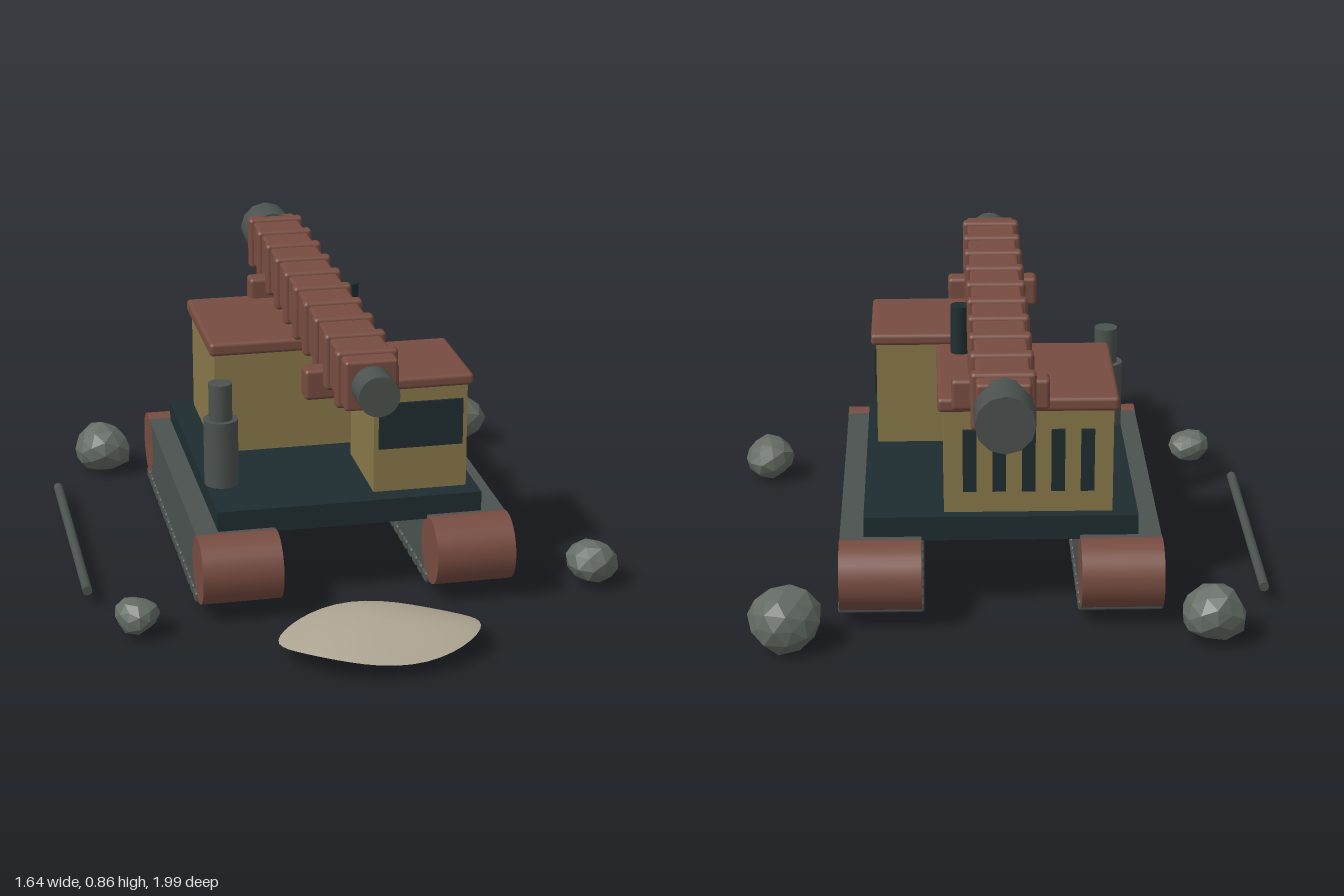
import * as THREE from 'three';
import { RoundedBoxGeometry } from 'three/addons/geometries/RoundedBoxGeometry.js';

const mat = (name, color, extra = {}) => Object.assign(new THREE.MeshStandardMaterial({ color, ...extra }), { name });

export function createModel() {
  const rust = mat('rust', 0x774c40);
  const ochre = mat('ochre', 0x88784a);
  const steel = mat('steel', 0x4b524f);
  const dark = mat('darkTeal', 0x1f2d30);
  const sand = mat('sand', 0xada592);
  const stone = mat('stone', 0x636b63, { flatShading: true });

  const root = new THREE.Group();
  root.name = 'trackedMachine';
  const CX = -0.012; // centre line of the machine

  const add = (name, geo, material, parent = root) => {
    const m = new THREE.Mesh(geo, material);
    m.name = name;
    parent.add(m);
    return m;
  };
  const group = (name) => {
    const g = new THREE.Group();
    g.name = name;
    root.add(g);
    return g;
  };
  // Box given by its limits; r > 0 rounds the edges
  const box = (name, material, x0, x1, y0, y1, z0, z1, parent, r = 0) => {
    const s = [x1 - x0, y1 - y0, z1 - z0];
    const geo = r ? new RoundedBoxGeometry(...s, 2, r) : new THREE.BoxGeometry(...s);
    const m = add(name, geo, material, parent);
    m.position.set((x0 + x1) / 2, (y0 + y1) / 2, (z0 + z1) / 2);
    return m;
  };
  // Cylinder along one axis
  const rod = (name, material, radius, length, axis, x, y, z, parent, sides = 24) => {
    const geo = new THREE.CylinderGeometry(radius, radius, length, sides);
    if (axis === 'x') geo.rotateZ(Math.PI / 2);
    if (axis === 'z') geo.rotateX(Math.PI / 2);
    const m = add(name, geo, material, parent);
    m.position.set(x, y, z);
    return m;
  };

  // Tracks: belt, end drums and ground cleats
  for (const side of [-1, 1]) {
    const g = group(side < 0 ? 'rightTrack' : 'leftTrack');
    const x = CX + side * 0.356;
    box('belt', steel, x - 0.121, x + 0.121, 0.055, 0.253, -0.625, 0.452, g);
    for (const z of [0.448, -0.617]) rod('drum', rust, 0.104, 0.243, 'x', x, 0.154, z, g, 28);
    for (let i = 0; i < 17; i++) {
      const z = 0.395 - i * 0.0625;
      box('cleat', steel, x - 0.128, x + 0.128, 0.032, 0.065, z - 0.024, z + 0.024, g, 0.008);
    }
  }

  // Deck
  box('deck', dark, -0.42, 0.393, 0.24, 0.315, -0.568, 0.405);

  // Engine house with rear vents
  const house = group('engineHouse');
  box('houseWalls', ochre, -0.345, 0.155, 0.315, 0.64, -0.532, -0.08, house);
  box('houseRoof', rust, -0.36, 0.172, 0.637, 0.68, -0.547, -0.072, house, 0.012);
  for (let i = 0; i < 5; i++) {
    const x = -0.095 + (i - 2) * 0.087;
    const vent = box('vent', dark, x - 0.02, x + 0.02, 0.385, 0.58, -0.541, -0.532, house);
    vent.position.z -= 0.004;
  }

  // Cab with front and side windows
  const cab = group('cab');
  box('cabWalls', ochre, 0.07, 0.36, 0.315, 0.645, 0.02, 0.342, cab);
  box('cabRoof', rust, 0.054, 0.376, 0.643, 0.68, 0.004, 0.356, cab, 0.012);
  box('frontWindow', dark, 0.085, 0.345, 0.455, 0.6, 0.342, 0.351, cab);
  box('sideWindow', dark, 0.36, 0.368, 0.455, 0.6, 0.083, 0.282, cab);

  // Stacks
  const stack = group('deckStack');
  rod('stackBase', steel, 0.053, 0.21, 'y', -0.369, 0.42, 0.17, stack);
  rod('stackPipe', steel, 0.036, 0.13, 'y', -0.369, 0.575, 0.17, stack);
  rod('roofStack', dark, 0.029, 0.18, 'y', 0.1, 0.74, -0.148);

  // Boom with collars, nozzles and saddles
  const boom = group('boom');
  const BY = 0.78;
  box('boomBeam', rust, CX - 0.078, CX + 0.078, BY - 0.075, BY + 0.075, -0.885, 0.668, boom, 0.01);
  for (let i = 0; i < 10; i++) {
    const z = 0.59 - i * 0.1555;
    box('collar', rust, CX - 0.092, CX + 0.092, BY - 0.086, BY + 0.086, z - 0.021, z + 0.021, boom, 0.012);
  }
  rod('frontNozzle', steel, 0.06, 0.12, 'z', CX, BY, 0.705, boom);
  rod('rearNozzle', steel, 0.085, 0.145, 'z', CX, BY, -0.9275, boom, 12);
  for (const z of [0.38, -0.537]) {
    box('saddle', rust, CX - 0.143, CX + 0.143, 0.652, 0.746, z - 0.034, z + 0.034, boom, 0.012);
  }

  // Loose pole
  rod('pole', steel, 0.015, 0.845, 'z', -0.808, 0.056, -0.107, root, 12);

  // Rocks: icosahedra with a smooth wobble, so shared corners stay joined
  const rocks = group('rocks');
  [[-0.63, 0.093, -0.77, 0.095, 0.084], [0.62, 0.1, -0.79, 0.106, 0.093],
    [-0.69, 0.073, 0.548, 0.065, 0.054], [0.735, 0.08, 0.467, 0.08, 0.068]].forEach(([x, y, z, r, h], k) => {
    const geo = new THREE.IcosahedronGeometry(1, 1);
    const p = geo.attributes.position;
    for (let i = 0; i < p.count; i++) {
      const [a, b, c] = [p.getX(i), p.getY(i), p.getZ(i)];
      const f = 1 + 0.07 * Math.sin(3.1 * a + 2.3 * b + k * 1.7) + 0.05 * Math.cos(4 * c - 2 * a + k);
      p.setXYZ(i, a * f * r, b * f * h, c * f * r);
    }
    geo.computeVertexNormals();
    const m = add('rock', geo, stone, rocks);
    m.position.set(x, y, z);
    m.rotation.y = k * 1.3;
  });

  // Sand heap: a lens with a gently waving rim
  const heap = group('sandHeap');
  for (const up of [1, -1]) {
    const geo = new THREE.SphereGeometry(1, 40, 10, 0, Math.PI * 2, up > 0 ? 0 : Math.PI / 2, Math.PI / 2);
    const p = geo.attributes.position;
    for (let i = 0; i < p.count; i++) {
      const x = p.getX(i), z = p.getZ(i);
      const r2 = Math.min(1, x * x + z * z);
      const wave = 0.012 * r2 * Math.sin(3 * Math.atan2(z, x) + 0.6);
      p.setXYZ(i, x * 0.298, up * 0.048 * (1 - r2) + wave, z * 0.2);
    }
    geo.computeVertexNormals();
    const m = add(up > 0 ? 'heapTop' : 'heapUnderside', geo, sand, heap);
    m.position.set(CX, 0.064, 0.794);
  }

  return root;
}
